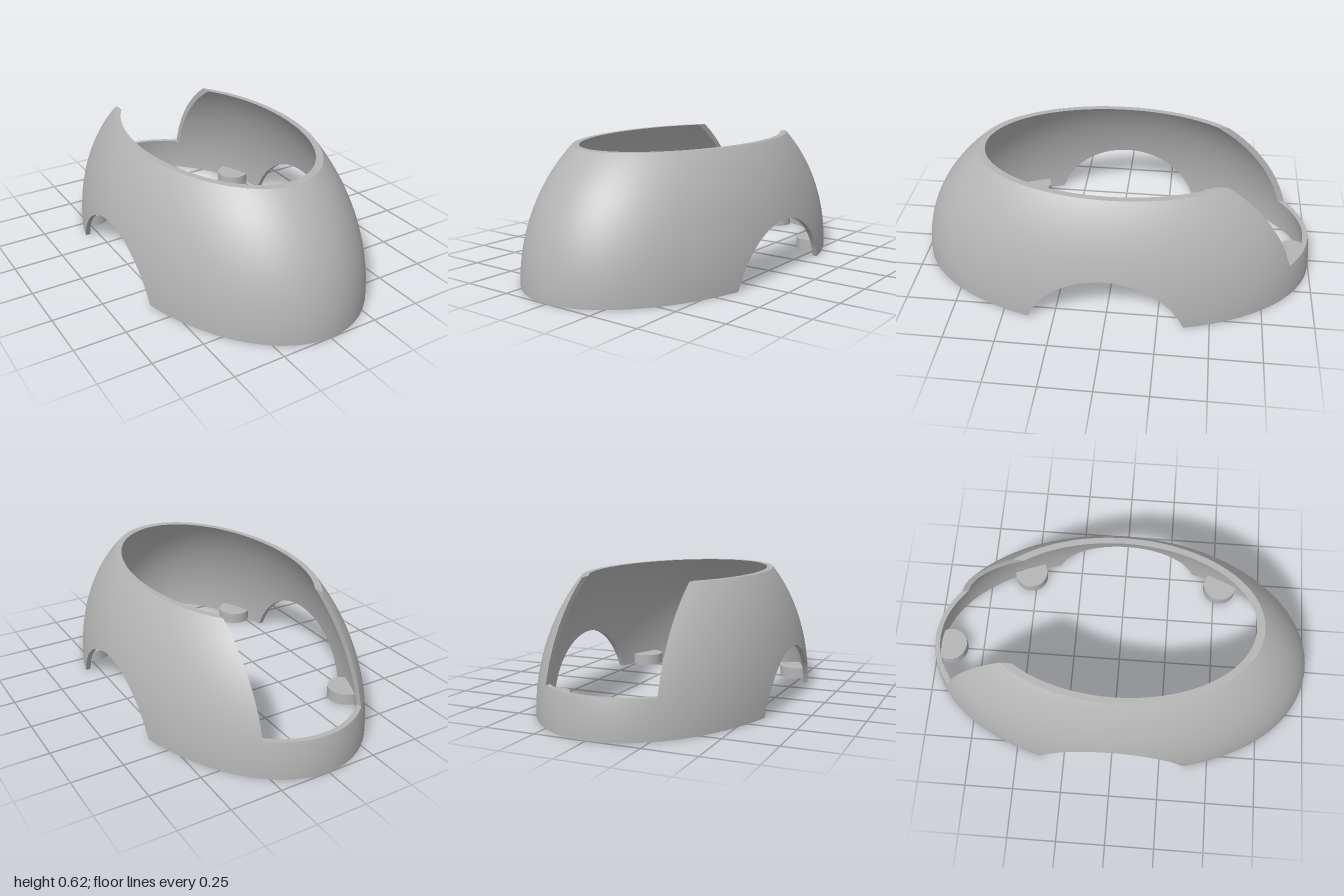
import * as THREE from 'three';
import { toCreasedNormals } from 'three/addons/utils/BufferGeometryUtils.js';

// Ellipsoid half-axes of the two skins
const OUTER = { a: 0.61, b: 0.866, c: 1.0 };
const INNER = { a: 0.585, b: 0.841, c: 0.975 };
const TOP = 0.62;                              // height of the flat top cut
const NOTCH = { halfWidth: 0.267, floor: 0.18 };
const ARCH = { radius: 0.398, y: -0.133, halfWidth: 0.375 };

const shrink = (s, y) => Math.sqrt(Math.max(0, 1 - (y / s.b) ** 2));
const pointOn = (s, t, y) => new THREE.Vector3(
  s.a * shrink(s, y) * Math.sin(t), y, -s.c * shrink(s, y) * Math.cos(t));

// Column angles from the back round to the back again, exact at every cut corner
function columnAngles(s) {
  const notch = (y) => Math.asin(NOTCH.halfWidth / (s.a * shrink(s, y)));
  const arch = Math.acos(ARCH.halfWidth / s.c);
  const stops = [0, notch(NOTCH.floor), notch(TOP), arch, Math.PI / 2, Math.PI - arch, Math.PI];
  const steps = [8, 14, 10, 20, 20, 28];
  const half = [0];
  steps.forEach((n, k) => {
    for (let i = 1; i <= n; i++) half.push(THREE.MathUtils.lerp(stops[k], stops[k + 1], i / n));
  });
  return [...half, ...half.slice(0, -1).reverse().map((t) => 2 * Math.PI - t)];
}

// Lower edge: ground, raised by the side arches
function lowerEdge(s, t) {
  const clear = (y) => Math.hypot(pointOn(s, t, y).z, y - ARCH.y) >= ARCH.radius - 1e-4;
  if (clear(0)) return 0;
  let lo = 0, hi = 0.4;
  for (let i = 0; i < 30; i++) {
    const mid = (lo + hi) / 2;
    if (clear(mid)) hi = mid; else lo = mid;
  }
  return hi;
}

// Upper edge: flat top, lowered by the rear notch
function upperEdge(s, t) {
  if (Math.cos(t) <= 0) return TOP;
  const q = NOTCH.halfWidth / (s.a * Math.max(1e-6, Math.abs(Math.sin(t))));
  const y = q < 1 ? s.b * Math.sqrt(1 - q * q) : 0;
  return THREE.MathUtils.clamp(y, NOTCH.floor, TOP);
}

// Skins a list of equally long rows of points
function skinRows(rows) {
  const n = rows[0].length, index = [];
  for (let j = 0; j < rows.length - 1; j++) {
    for (let i = 0; i < n - 1; i++) {
      const p = j * n + i;
      index.push(p, p + 1, p + n, p + 1, p + n + 1, p + n);
    }
  }
  const g = new THREE.BufferGeometry().setFromPoints(rows.flat());
  g.setIndex(index);
  g.computeVertexNormals();
  return g;
}

// Rows of one skin from its lower to its upper edge
function shellRows(s, count = 24) {
  const cols = columnAngles(s).map((t) => [t, lowerEdge(s, t), upperEdge(s, t)]);
  return Array.from({ length: count + 1 }, (_, j) =>
    cols.map(([t, lo, hi]) => pointOn(s, t, lo + (hi - lo) * j / count)));
}

// Smooth ellipsoid normals
function smooth(g, s, sign) {
  const p = g.attributes.position, v = new THREE.Vector3();
  for (let i = 0; i < p.count; i++) {
    v.set(p.getX(i) / s.a ** 2, p.getY(i) / s.b ** 2, p.getZ(i) / s.c ** 2)
      .normalize().multiplyScalar(sign);
    g.attributes.normal.setXYZ(i, v.x, v.y, v.z);
  }
  return g;
}

// Screw boss with a blind hole, trimmed where it meets the wall
function bossGeometry(x, z) {
  const profile = [[0, 0.04], [0.033, 0.04], [0.033, 0], [0.088, 0], [0.088, 0.058], [0, 0.058]]
    .map(([r, y]) => new THREE.Vector2(r, y));
  const g = new THREE.LatheGeometry(profile, 48).translate(x, 0, z);
  const p = g.attributes.position;
  for (let i = 0; i < p.count; i++) {
    const k = Math.hypot(p.getX(i) / (INNER.a + 0.008), p.getZ(i) / (INNER.c + 0.008))
      / shrink(INNER, p.getY(i));
    if (k > 1) p.setXYZ(i, p.getX(i) / k, p.getY(i), p.getZ(i) / k);
  }
  g.deleteAttribute('normal');
  return toCreasedNormals(g, 0.6);
}

export function createModel() {
  const model = new THREE.Group();
  model.name = 'domedShell';
  const grey = new THREE.MeshStandardMaterial({ color: 0xb4b4b4 });
  grey.name = 'plain grey';

  const add = (name, geometry) => {
    const mesh = new THREE.Mesh(geometry, grey);
    mesh.name = name;
    model.add(mesh);
  };

  // Shell skins and the rims joining them
  const outer = shellRows(OUTER), inner = shellRows(INNER);
  add('outerShell', smooth(skinRows([...outer].reverse()), OUTER, 1));
  add('innerShell', smooth(skinRows(inner), INNER, -1));
  add('lowerRim', toCreasedNormals(skinRows([outer[0], inner[0]]), 0.5));
  add('upperRim', toCreasedNormals(skinRows([inner.at(-1), outer.at(-1)]), 0.5));

  // Six mounting bosses around the base
  for (const end of [-1, 1]) {
    const label = end < 0 ? 'rear' : 'front';
    add(`${label}CentreBoss`, bossGeometry(0, 0.923 * end));
    add(`${label}LeftBoss`, bossGeometry(0.46, 0.53 * end));
    add(`${label}RightBoss`, bossGeometry(-0.46, 0.53 * end));
  }
  return model;
}
